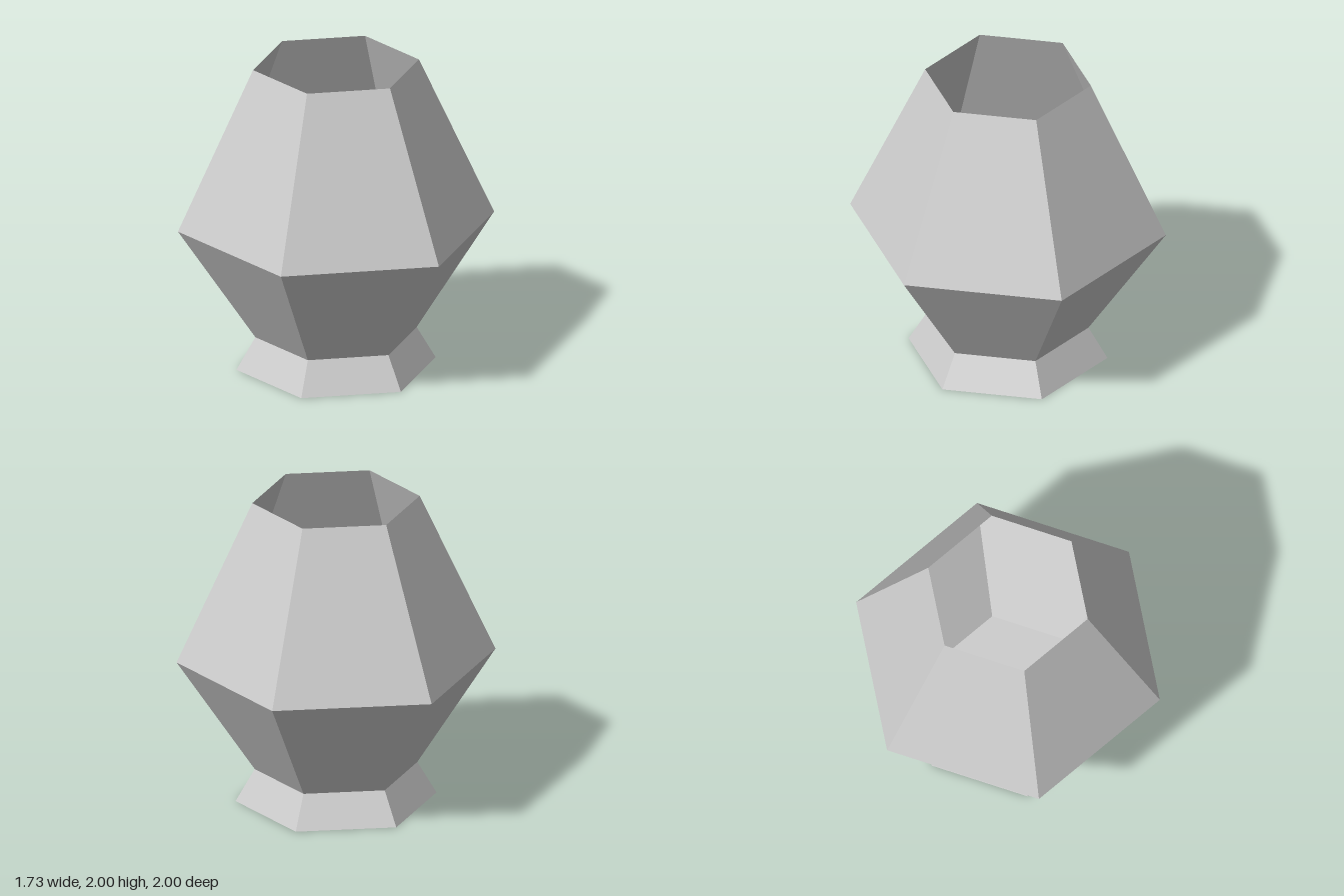
import * as THREE from 'three';

const SIDES = 6;

export function createModel() {
  const model = new THREE.Group();
  model.name = 'hexagonalVase';

  const clay = new THREE.MeshStandardMaterial({ color: 0xcccccc, flatShading: true, side: THREE.DoubleSide });
  clay.name = 'light grey clay';

  function add(name, geometry) {
    const faceted = geometry.toNonIndexed();
    faceted.computeVertexNormals();
    const mesh = new THREE.Mesh(faceted, clay);
    mesh.name = name;
    model.add(mesh);
  }

  // Open six-sided wall with a corner at the front
  function wall(name, r0, y0, r1, y1) {
    add(name, new THREE.LatheGeometry([new THREE.Vector2(r0, y0), new THREE.Vector2(r1, y1)], SIDES));
  }

  wall('foot', 0.63, 0, 0.51, 0.21);
  wall('lowerBody', 0.51, 0.21, 1, 0.95);
  wall('upperBody', 1, 0.95, 0.525, 2);

  // Floor closing the underside, seen through the open mouth
  add('base', new THREE.CircleGeometry(0.63, SIDES, Math.PI / 2).rotateX(Math.PI / 2));

  return model;
}
